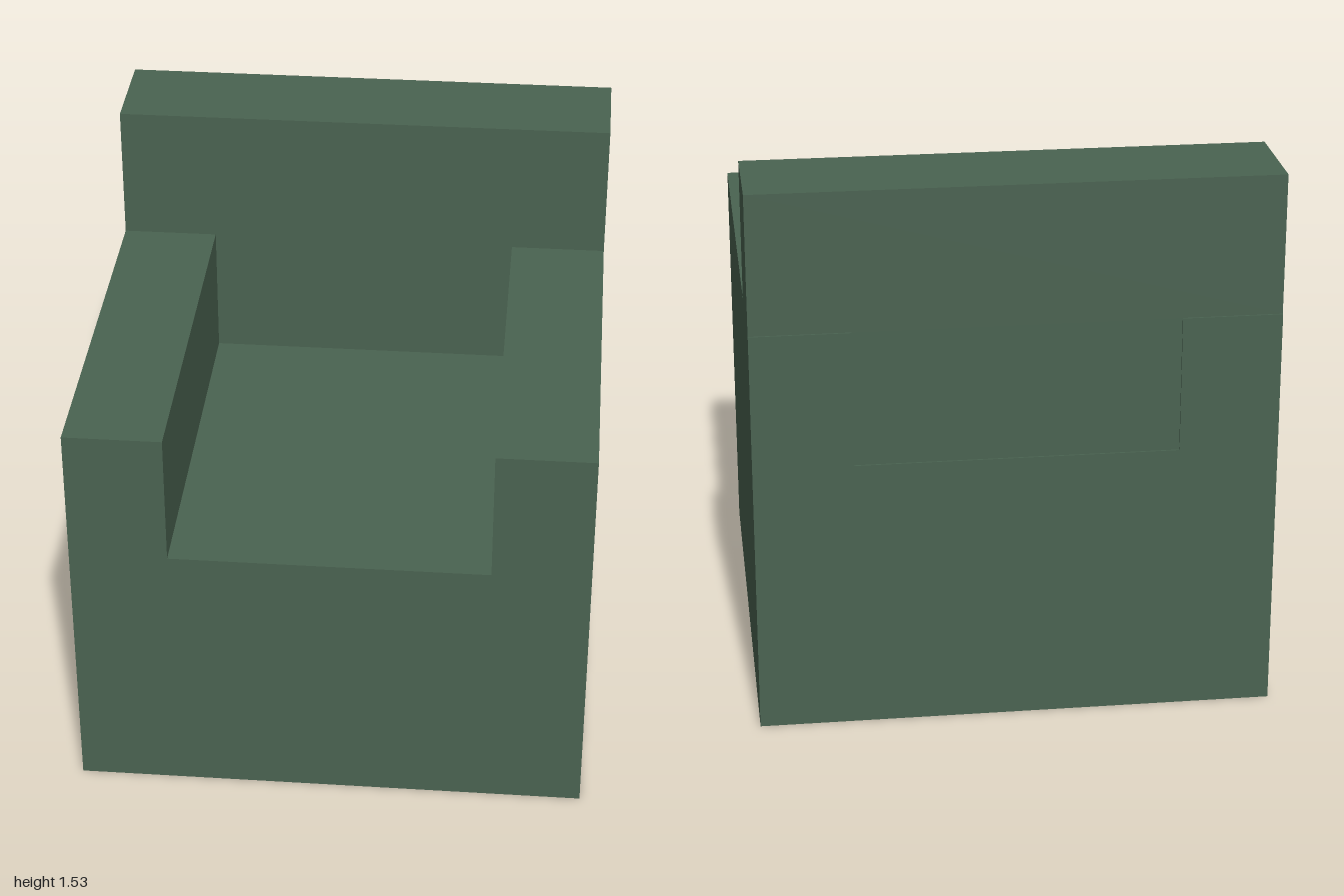
import * as THREE from 'three';

export function createModel() {
  const model = new THREE.Group();
  model.name = 'armchair';

  const green = new THREE.MeshStandardMaterial({ color: 0x4a6351 });
  green.name = 'dark green';

  const side = Math.SQRT2;      // square footprint, standing on its diagonal
  const half = side / 2;
  const armWidth = 0.269;
  const seatY = 0.763;
  const armY = 1.14;
  const topY = 1.526;
  const backDepth = 0.292;
  const backInset = 0.005;      // backrest sits just inside the rear face
  const inner = half - armWidth;

  const chair = new THREE.Group();
  chair.name = 'chair';
  chair.rotation.y = -Math.PI / 4;
  model.add(chair);

  // Seat and both arms: one U-shaped section run front to back
  const section = new THREE.Shape([
    [-half, 0], [half, 0], [half, armY], [inner, armY],
    [inner, seatY], [-inner, seatY], [-inner, armY], [-half, armY],
  ].map(([x, y]) => new THREE.Vector2(x, y)));
  const bodyGeometry = new THREE.ExtrudeGeometry(section, { depth: side, bevelEnabled: false });
  bodyGeometry.translate(0, 0, -half);
  const body = new THREE.Mesh(bodyGeometry, green);
  body.name = 'seatAndArms';
  chair.add(body);

  // Backrest: full width above the arms, narrowed to fit between them below,
  // shaped as a T section
  const tee = new THREE.Shape([
    [-inner, seatY], [inner, seatY], [inner, armY], [half, armY],
    [half, topY], [-half, topY], [-half, armY], [-inner, armY],
  ].map(([x, y]) => new THREE.Vector2(x, y)));
  const backGeometry = new THREE.ExtrudeGeometry(tee, { depth: backDepth, bevelEnabled: false });
  backGeometry.translate(0, 0, -half + backInset);
  const backrest = new THREE.Mesh(backGeometry, green);
  backrest.name = 'backrest';
  chair.add(backrest);

  return model;
}
